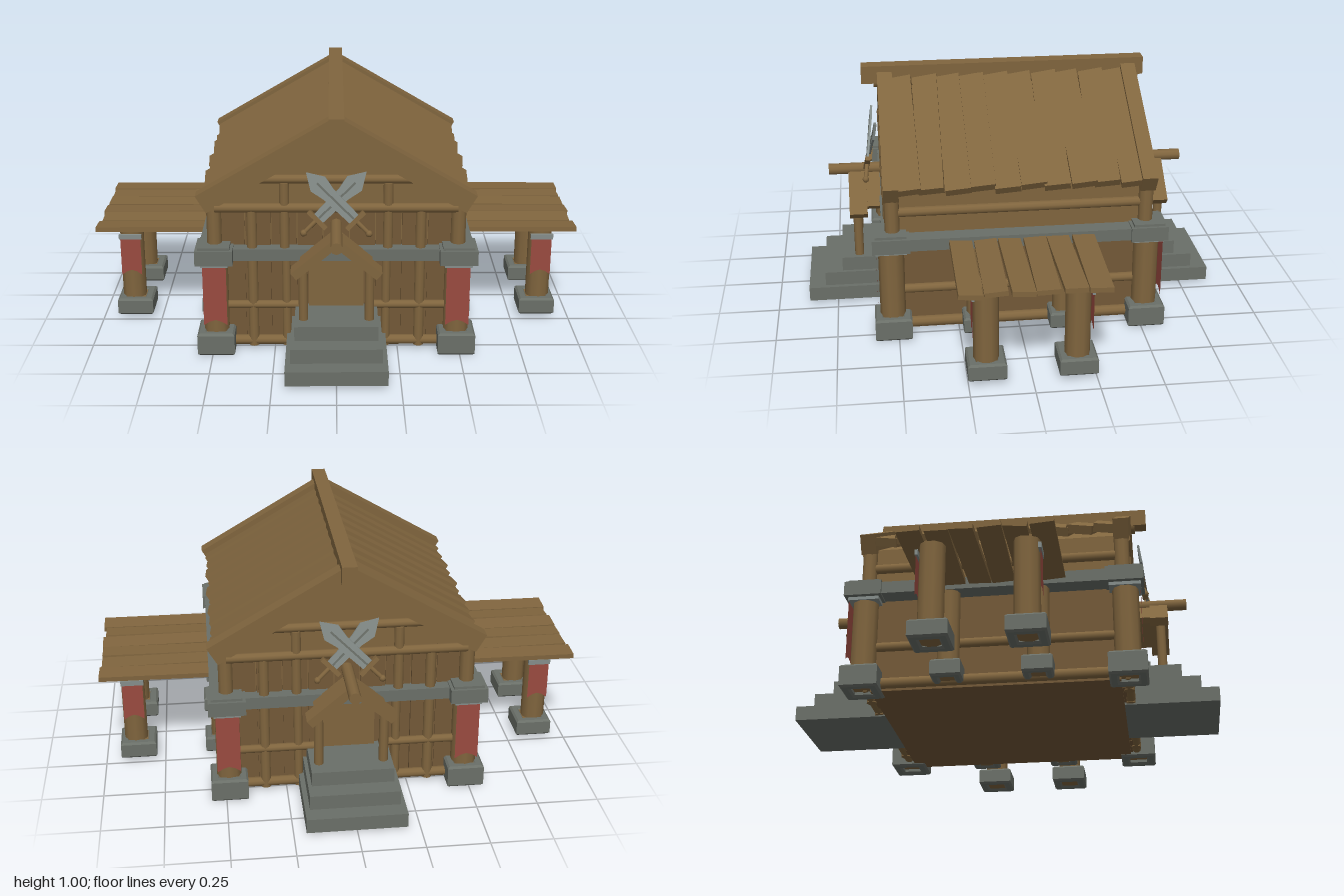
import * as THREE from 'three';

const mat = (name, color, side = THREE.FrontSide) => {
  const m = new THREE.MeshStandardMaterial({ color, side });
  m.name = name;
  return m;
};

export function createModel() {
  const wood = mat('wood', 0x80653e);
  const wall = mat('wall wood', 0x735938);
  const stone = mat('stone', 0x6a6f68);
  const steel = mat('steel', 0x858d8a);
  const red = mat('red cloth', 0x9a4a40, THREE.DoubleSide);
  const model = new THREE.Group();
  model.name = 'timberHall';

  const add = (name, geo, m, x = 0, y = 0, z = 0, parent = model) => {
    const mesh = new THREE.Mesh(geo, m);
    mesh.name = name;
    mesh.position.set(x, y, z);
    parent.add(mesh);
    return mesh;
  };
  const box = (name, m, w, h, d, x, y, z, parent) =>
    add(name, new THREE.BoxGeometry(w, h, d), m, x, y, z, parent);
  // Round log between two points
  const log = (name, a, b, r, parent = model, m = wood) => {
    const p = new THREE.Vector3(...a), q = new THREE.Vector3(...b);
    const mesh = add(name, new THREE.CylinderGeometry(r, r, p.distanceTo(q), 10), m, 0, 0, 0, parent);
    mesh.position.copy(p).add(q).multiplyScalar(0.5);
    mesh.quaternion.setFromUnitVectors(new THREE.Vector3(0, 1, 0), q.sub(p).normalize());
    return mesh;
  };
  const polygon = pts => new THREE.Shape(pts.map(p => new THREE.Vector2(...p)));
  const wobble = i => Math.sin(i * 2.7 + 0.8);

  // Square stone footing, hollow around its post
  const footing = (name, w, h, x, y, z) => {
    const s = w / 2 - 0.008, i = w * 0.3;
    const shape = polygon([[-s, -s], [s, -s], [s, s], [-s, s]]);
    shape.holes.push(polygon([[-i, -i], [-i, i], [i, i], [i, -i]]));
    const geo = new THREE.ExtrudeGeometry(shape, {
      depth: h - 0.016, bevelThickness: 0.008, bevelSize: 0.008, bevelSegments: 1,
    });
    geo.rotateX(-Math.PI / 2);
    add(name, geo, stone, x, y + 0.008, z);
    box(name + 'Core', wood, i * 2, h - 0.03, i * 2, x, y + h / 2 + 0.01, z);
  };

  // Hanging cloth with a notched lower edge
  const banner = (w, top, bottom, x, z) => {
    const h = w / 2, shape = polygon([[-h, top], [-h, bottom], [-h * 0.5, bottom + 0.015],
      [0, bottom + 0.022], [h * 0.5, bottom + 0.015], [h, bottom], [h, top]]);
    add('banner', new THREE.ShapeGeometry(shape), red, x, 0, z);
  };

  // Main walls and gable
  box('lowerWalls', wall, 0.94, 0.43, 0.98, 0, 0.225, 0);
  const gable = new THREE.ExtrudeGeometry(
    polygon([[-0.48, 0.43], [0.48, 0.43], [0.48, 0.63], [0, 0.92], [-0.48, 0.63]]),
    { depth: 0.99, bevelEnabled: false });
  add('upperWalls', gable, wood, 0, 0, -0.495);

  // Stone belt around the walls
  for (const s of [1, -1]) {
    box('sideBelt', stone, 0.09, 0.05, 0.96, s * 0.505, 0.423, 0);
    box('endBelt', stone, 0.9, 0.05, 0.07, 0, 0.423, s * 0.52);
  }

  // Corner posts with footings, caps and banners
  for (const sx of [1, -1]) for (const sz of [1, -1]) {
    const x = sx * 0.485, z = sz * 0.52;
    footing('cornerFooting', 0.15, 0.095, x, 0, z);
    log('cornerPost', [x, 0.02, z], [x, 0.42, z], 0.052);
    box('cornerCap', stone, 0.15, 0.06, 0.15, x, 0.423, z);
    box('capTop', stone, 0.125, 0.012, 0.125, x, 0.457, z);
    box('capSkirt', steel, 0.11, 0.015, 0.125, x, 0.387, z);
    banner(0.094, 0.4, 0.13, x, sz * 0.58);
    log('upperCornerPost', [x, 0.44, sz * 0.512], [x, 0.65, sz * 0.512], 0.03);
  }

  // End walls: boards, framing logs, steps, entrance and crossed swords (front and back)
  for (const turn of [0, Math.PI]) {
    const end = new THREE.Group();
    end.name = turn ? 'backEnd' : 'frontEnd';
    end.rotation.y = turn;
    model.add(end);

    for (let i = -4; i <= 4; i++) {
      const t = 0.008 + (i & 1 ? 0.007 : 0);
      box('wallBoard', wall, 0.1, 0.38, t, i * 0.104, 0.21, 0.49 + t / 2, end);
      box('upperBoard', wall, 0.1, 0.18, t, i * 0.104, 0.53, 0.495 + t / 2, end);
    }
    for (const s of [1, -1]) {
      log('wallStud', [s * 0.335, 0.015, 0.515], [s * 0.335, 0.4, 0.515], 0.021, end);
      log('wallStud', [s * 0.2, 0.015, 0.515], [s * 0.2, 0.4, 0.515], 0.018, end);
      log('upperStud', [s * 0.335, 0.44, 0.525], [s * 0.335, 0.61, 0.525], 0.021, end);
      log('upperStud', [s * 0.205, 0.44, 0.525], [s * 0.205, 0.72, 0.525], 0.02, end);
      log('lowerRail', [s * 0.13, 0.195, 0.52], [s * 0.47, 0.195, 0.52], 0.017, end);
    }
    log('sillLog', [-0.46, 0.035, 0.515], [0.46, 0.035, 0.515], 0.02, end);
    log('tieLog', [-0.48, 0.615, 0.53], [0.48, 0.615, 0.53], 0.019, end);
    log('collarLog', [-0.34, 0.733, 0.525], [0.34, 0.733, 0.525], 0.018, end);
    box('door', wood, 0.22, 0.21, 0.02, 0, 0.285, 0.515, end);

    // Stone steps
    [[0.4, 0.87], [0.36, 0.8], [0.33, 0.725]].forEach(([w, z], i) =>
      box('step', stone, w, 0.06, z - 0.48, 0, 0.04 + i * 0.06, (z + 0.48) / 2, end));

    // Entrance canopy
    log('canopyRidge', [0, 0.535, 0.49], [0, 0.535, 0.765], 0.024, end);
    for (const s of [1, -1]) {
      log('canopyPost', [s * 0.13, 0.18, 0.65], [s * 0.13, 0.42, 0.65], 0.019, end);
      const board = box('canopyBoard', wood, 0.215, 0.035, 0.075, s * 0.085, 0.453, 0.645, end);
      board.rotation.z = -s * 0.7;
      const strip = box('canopyBackBoard', wood, 0.17, 0.025, 0.06, s * 0.07, 0.462, 0.58, end);
      strip.rotation.z = -s * 0.7;
    }

    // Crossed swords leaning against the gable
    const swords = new THREE.Group();
    swords.name = 'crossedSwords';
    swords.position.set(0, 0.66, 0.583);
    swords.rotation.x = -0.15;
    end.add(swords);
    for (const s of [1, -1]) {
      const sword = new THREE.Group();
      sword.name = 'sword';
      sword.position.z = s * 0.007;
      sword.rotation.z = s * 0.79;
      swords.add(sword);
      const blade = new THREE.ExtrudeGeometry(polygon([[-0.024, -0.1], [0.024, -0.1], [0.028, 0.04],
        [0.04, 0.1], [0, 0.165], [-0.04, 0.1], [-0.028, 0.04]]), { depth: 0.009, bevelEnabled: false });
      add('blade', blade, steel, 0, 0, -0.0045, sword);
      box('fuller', stone, 0.008, 0.2, 0.012, 0, 0.005, 0, sword);
      box('guard', wood, 0.095, 0.018, 0.022, 0, -0.105, 0, sword);
      log('grip', [0, -0.105, 0], [0, -0.175, 0], 0.009, sword);
      add('pommel', new THREE.SphereGeometry(0.014, 8, 6), wood, 0, -0.18, 0, sword);
    }
  }

  // Main roof: planks and end rafters on both slopes
  log('ridgeCore', [0, 0.93, -0.56], [0, 0.93, 0.56], 0.03);
  box('ridgeBeam', wood, 0.06, 0.075, 1.19, 0, 0.962, 0.015);
  for (const s of [1, -1]) {
    const slope = new THREE.Group();
    slope.name = s > 0 ? 'leftRoof' : 'rightRoof';
    slope.position.set(s * 0.268, 0.787, 0);
    slope.rotation.z = -s * 0.53;
    model.add(slope);
    for (let i = 0; i < 10; i++) {
      const plank = box('roofPlank', wood, 0.595 + 0.015 * wobble(i), 0.035, 0.102, 0, 0.005, -0.45 + i * 0.1, slope);
      plank.rotation.set(0.13, 0.018 * wobble(i + 3), 0);
    }
    for (const e of [1, -1])
      box('rafter', wood, 0.615, 0.082, 0.062, 0, 0, e * 0.513, slope);

    // Side wall logs
    log('sideSill', [s * 0.475, 0.04, -0.48], [s * 0.475, 0.04, 0.48], 0.022);
    log('sideRail', [s * 0.475, 0.195, -0.48], [s * 0.475, 0.195, 0.48], 0.019);
    log('eaveLog', [s * 0.48, 0.54, -0.5], [s * 0.48, 0.54, 0.5], 0.02);

    // Side porch
    for (let i = 0; i < 6; i++) {
      const plank = box('porchPlank', wood, 0.465, 0.02, 0.09, s * (0.762 + 0.007 * wobble(i)), 0.426, -0.245 + i * 0.098);
      plank.rotation.set(0.08 * wobble(i + 1), 0.015 * wobble(i + 4), 0);
    }
    for (const e of [1, -1]) {
      const z = e * 0.177;
      footing('porchFooting', 0.15, 0.072, s * 0.86, 0.022, z);
      log('porchPost', [s * 0.87, 0.03, z], [s * 0.87, 0.42, z], 0.05);
      box('bannerBar', steel, 0.095, 0.022, 0.012, s * 0.87, 0.373, z + e * 0.052);
      banner(0.085, 0.37, 0.2, s * 0.87, z + e * 0.054);
      footing('innerFooting', 0.12, 0.07, s * 0.515, 0.022, z);
      log('innerPost', [s * 0.505, 0.03, z], [s * 0.505, 0.42, z], 0.045);
    }
  }
  return model;
}
